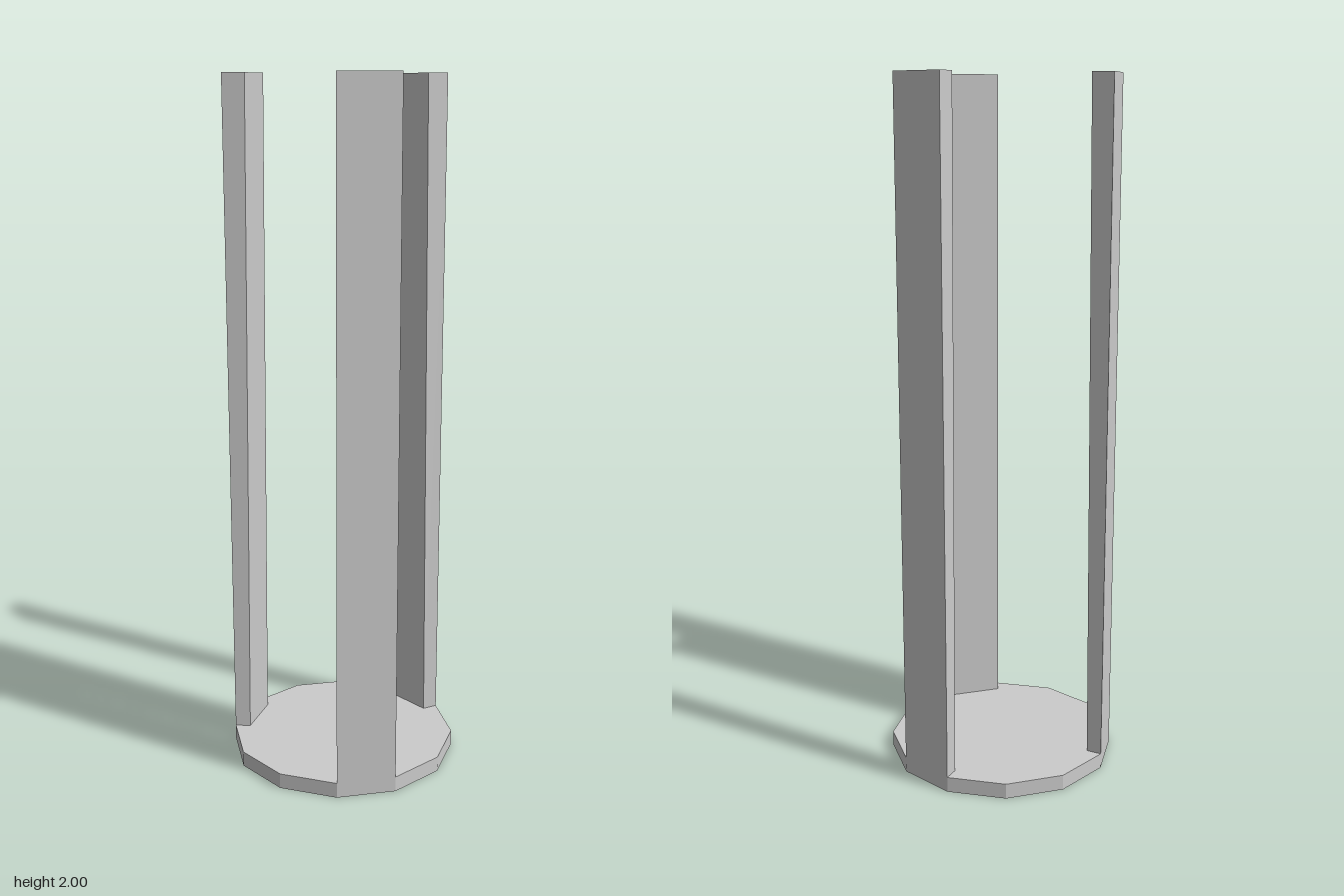
import * as THREE from 'three';

const RADIUS = 0.333, BASE_H = 0.045, HEIGHT = 2;
const INNER_BOTTOM = 0.288, INNER_TOP = 0.269;
const SECTOR = Math.PI / 6; // one side of the twelve-sided base

// Upright spanning one side of the base, with radial flanks and a thicker top
function postGeometry() {
  const geometry = new THREE.BoxGeometry(1, 1, 1);
  const p = geometry.attributes.position;
  for (let i = 0; i < p.count; i++) {
    const top = p.getY(i) > 0;
    const inner = top ? INNER_TOP : INNER_BOTTOM;
    const r = p.getX(i) > 0 ? RADIUS : inner;
    const angle = p.getZ(i) > 0 ? 0 : SECTOR;
    p.setXYZ(i, r * Math.cos(angle), top ? HEIGHT : BASE_H, -r * Math.sin(angle));
  }
  geometry.computeVertexNormals();
  return geometry;
}

export function createModel() {
  const model = new THREE.Group();
  model.name = 'threePostStand';
  const material = new THREE.MeshStandardMaterial({ color: 0xcccccc, flatShading: true });

  // Twelve-sided base plate
  const base = new THREE.Mesh(new THREE.CylinderGeometry(RADIUS, RADIUS, BASE_H, 12), material);
  base.name = 'basePlate';
  base.position.y = BASE_H / 2;
  model.add(base);

  // Three uprights spaced evenly around the rim
  const geometry = postGeometry();
  ['rightRearPost', 'leftRearPost', 'frontPost'].forEach((_, i) => {
    const post = new THREE.Mesh(geometry, material);
    post.name = `post${i + 1}`;
    post.rotation.y = (i * Math.PI * 2) / 3;
    model.add(post);
  });
  return model;
}
